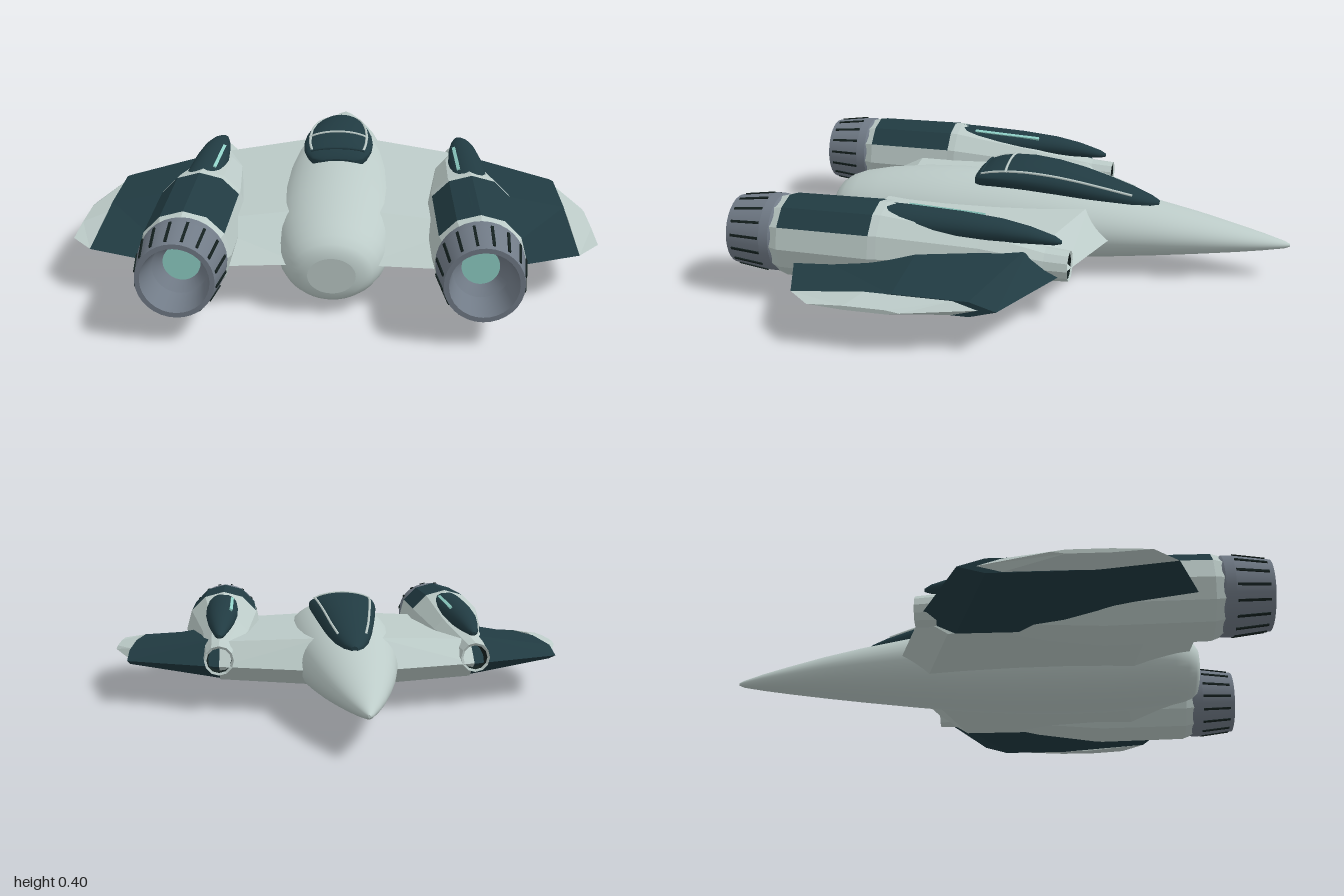
import * as THREE from 'three';

const paint = (name, color, side = THREE.FrontSide) => {
  const m = new THREE.MeshStandardMaterial({ color, side });
  m.name = name;
  return m;
};

// Skin closed rings of [x, y, z] points; pick(k, i) chooses the faces of band k
function loft(rings, { flat = false, caps = true, pick = () => true } = {}) {
  const n = rings[0].length, last = rings.length - 1, pos = rings.flat(2), idx = [];
  for (let k = 0; k < last; k++) for (let i = 0; i < n; i++) {
    if (!pick(k, i)) continue;
    const j = (i + 1) % n, a = k * n + i, b = k * n + j;
    idx.push(a, b, a + n, b, b + n, a + n);
  }
  if (caps) for (const k of [0, last]) {
    const c = pos.length / 3;
    for (const d of [0, 1, 2]) pos.push(rings[k].reduce((s, p) => s + p[d], 0) / n);
    // separate rim so the end stays sharp
    for (const p of rings[k]) pos.push(...p);
    for (let i = 0; i < n; i++) {
      const a = c + 1 + i, b = c + 1 + (i + 1) % n;
      idx.push(c, ...(k ? [a, b] : [b, a]));
    }
  }
  let g = new THREE.BufferGeometry();
  g.setAttribute('position', new THREE.Float32BufferAttribute(pos, 3));
  g.setIndex(idx);
  if (flat) g = g.toNonIndexed();
  g.computeVertexNormals();
  return g;
}

// Ellipse ring with separate upper and lower heights
const ellipse = (z, cx, cy, rx, up, down, n) => Array.from({ length: n }, (_, i) => {
  const a = i / n * Math.PI * 2, s = Math.sin(a);
  return [cx + rx * Math.cos(a), cy + s * (s > 0 ? up : down), z];
});

// Six-sided wing section at one span station
const wingRing = (x, le, te, top, bot, f1, f2) => {
  const z1 = le + (te - le) * f1, z2 = le + (te - le) * f2;
  return [[x, top, z1], [x, top, z2], [x, 0.16, te], [x, bot, z2], [x, bot, z1], [x, 0.16, le]];
};

function mirrored(geo) {
  const g = geo.index ? geo.toNonIndexed() : geo.clone();
  g.scale(-1, 1, 1);
  for (const at of Object.values(g.attributes)) {
    const s = at.itemSize, v = at.array;
    for (let t = 0; t < at.count; t += 3) for (let d = 0; d < s; d++) {
      const p = (t + 1) * s + d, q = (t + 2) * s + d;
      [v[p], v[q]] = [v[q], v[p]];
    }
  }
  return g;
}

export function createModel() {
  const model = new THREE.Group();
  model.name = 'spacecraft';
  const pale = paint('paleHull', 0xbccbc8), dark = paint('darkPanel', 0x213b42);
  const slate = paint('slateMetal', 0x717b87), glow = paint('tealGlow', 0x8fd0c6);
  const black = paint('shadowBlack', 0x14201f);
  const add = (name, geo, mat) => {
    const m = new THREE.Mesh(geo, mat);
    m.name = name;
    model.add(m);
  };
  const pair = (name, geo, mat) => {
    add('left' + name, geo, mat);
    add('right' + name, mirrored(geo), mat);
  };

  // Fuselage: z, half width, top, bottom
  const hull = [
    [-1, 0.004, 0.138, 0.128], [-0.98, 0.016, 0.147, 0.12], [-0.9, 0.045, 0.169, 0.108], [-0.8, 0.075, 0.193, 0.095],
    [-0.65, 0.113, 0.228, 0.077], [-0.5, 0.145, 0.258, 0.06], [-0.3, 0.178, 0.292, 0.038],
    [-0.1, 0.202, 0.318, 0.018], [0.1, 0.216, 0.33, 0.006], [0.3, 0.22, 0.333, 0.002],
    [0.45, 0.215, 0.326, 0.005], [0.6, 0.2, 0.308, 0.015], [0.7, 0.178, 0.287, 0.026],
    [0.75, 0.157, 0.268, 0.036], [0.78, 0.135, 0.248, 0.047], [0.795, 0.11, 0.228, 0.06], [0.8, 0.08, 0.205, 0.08],
  ];
  add('fuselage', loft(hull.map(([z, rx, t, b]) =>
    ellipse(z, 0, (t + b) / 2, rx, (t - b) / 2, (t - b) / 2, 40))), pale);

  // Canopy: z, half width, top, widest height
  const glass = [
    [-0.5, 0.012, 0.272, 0.262], [-0.47, 0.035, 0.287, 0.268], [-0.4, 0.06, 0.315, 0.28], [-0.3, 0.083, 0.348, 0.298],
    [-0.2, 0.1, 0.376, 0.315], [-0.1, 0.115, 0.396, 0.332], [0, 0.127, 0.405, 0.345], [0.08, 0.131, 0.401, 0.35],
    [0.14, 0.128, 0.387, 0.35], [0.18, 0.117, 0.37, 0.345], [0.205, 0.095, 0.35, 0.335], [0.213, 0.06, 0.338, 0.33],
  ];
  add('canopy', loft(glass.map(([z, rx, t, c]) => ellipse(z, 0, c, rx, t - c, 0.06, 32))), dark);
  const onGlass = ([z, rx, t, c], a) =>
    new THREE.Vector3(rx * Math.cos(a), c + (t - c) * Math.sin(a), z);
  const tube = (pts) => new THREE.TubeGeometry(new THREE.CatmullRomCurve3(pts), 32, 0.005, 6);
  pair('CanopyRail', tube(glass.slice(2, 10).map((r) => onGlass(r, 0.62))), pale);
  for (const [name, row] of [['canopyArch', 7], ['canopyRearArch', 9]]) {
    add(name, tube(Array.from({ length: 9 }, (_, i) =>
      onGlass(glass[row], 0.55 + i / 8 * (Math.PI - 1.1)))), row === 7 ? pale : dark);
  }

  // Wings
  pair('InnerWing', loft([
    wingRing(0.1, -0.355, 0.75, 0.265, 0.09, 0.1, 0.8),
    wingRing(0.48, -0.23, 0.78, 0.24, 0.095, 0.1, 0.8),
  ], { flat: true }), pale);
  pair('OuterWing', loft([
    wingRing(0.48, -0.235, 0.79, 0.25, 0.095, 0.13, 0.5),
    wingRing(0.835, -0.07, 0.65, 0.188, 0.133, 0.13, 0.5),
  ], { flat: true }), dark);
  pair('WingTip', loft([
    wingRing(0.834, -0.01, 0.65, 0.186, 0.135, 0.13, 0.6),
    wingRing(0.912, 0.235, 0.56, 0.167, 0.152, 0.15, 0.6),
  ], { flat: true }), pale);

  // Engine nacelle: z, centre x, centre y, radius; starts inside the intake
  const body = [
    [-0.14, 0.48, 0.185, 0.04], [-0.24, 0.48, 0.185, 0.046], [-0.245, 0.48, 0.185, 0.055],
    [-0.16, 0.48, 0.187, 0.06], [0.07, 0.462, 0.2, 0.103], [0.42, 0.475, 0.21, 0.157],
    [0.45, 0.478, 0.21, 0.158], [0.795, 0.48, 0.212, 0.153], [0.845, 0.48, 0.215, 0.137],
  ].map(([z, x, y, r]) => ellipse(z, x, y, r, r, r, 12));
  const saddle = (k, i) => k === 6 && i >= 1 && i <= 4;
  pair('Nacelle', loft(body, { flat: true, caps: false, pick: (k, i) => k > 0 && !saddle(k, i) }), pale);
  pair('NacelleSaddle', loft(body, { flat: true, caps: false, pick: saddle }), dark);
  pair('Intake', loft(body.slice(0, 2), { flat: true }), black);

  // Spine pod above each nacelle: z, half width, top, half height
  const pod = [
    [-0.215, 0.006, 0.278, 0.006], [-0.19, 0.02, 0.292, 0.016], [-0.1, 0.037, 0.319, 0.03], [0, 0.051, 0.338, 0.04],
    [0.15, 0.063, 0.352, 0.05], [0.35, 0.07, 0.361, 0.055], [0.5, 0.07, 0.364, 0.05],
    [0.7, 0.066, 0.363, 0.05], [0.82, 0.06, 0.355, 0.04],
  ];
  pair('SpinePod', loft(pod.map(([z, rx, t, h]) => ellipse(z, 0.478, t - h, rx, h, h, 20))), dark);
  const strip = new THREE.BoxGeometry(0.012, 0.009, 0.28);
  strip.rotateZ(0.45).rotateX(-0.055).translate(0.44, 0.344, 0.21);
  pair('LightStrip', strip, glow);

  // Exhaust nozzle with hollow throat
  const profile = [[0.13, 0.8], [0.144, 0.83], [0.144, 0.865], [0.126, 1], [0.11, 1], [0.09, 0.9], [0.06, 0.86]];
  const turned = (pts) => new THREE.LatheGeometry(pts.map((p) => new THREE.Vector2(...p)), 32)
    .rotateX(Math.PI / 2).translate(0.48, 0.215, 0);
  // each band is turned separately to keep its edges sharp
  for (let k = 0; k < profile.length - 1; k++) {
    pair('NozzleBand' + (k + 1), turned(profile.slice(k, k + 2)), slate);
  }
  pair('ExhaustGlow', new THREE.CircleGeometry(0.062, 32).translate(0.48, 0.215, 0.862), glow);

  // Slots between the nozzle petals
  for (let i = 0; i < 16; i++) {
    const slot = new THREE.BoxGeometry(0.009, 0.009, 0.115);
    slot.rotateX(0.133).translate(0, 0.1355, 0.925).rotateZ((i + 0.5) / 16 * Math.PI * 2).translate(0.48, 0.215, 0);
    pair('NozzleSlot' + (i + 1), slot, black);
  }
  return model;
}
